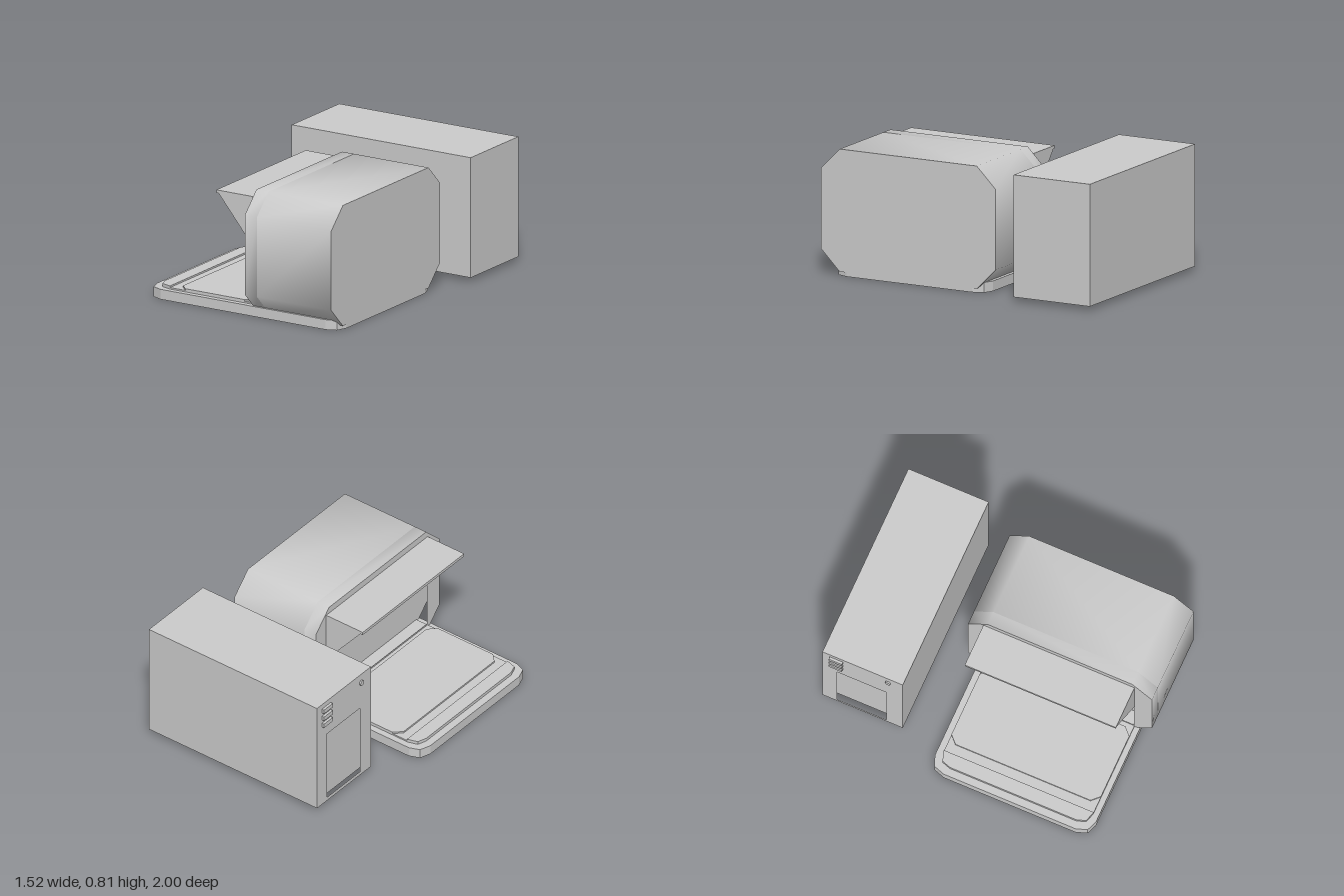
import * as THREE from 'three';
import { toCreasedNormals } from 'three/addons/utils/BufferGeometryUtils.js';

const material = new THREE.MeshStandardMaterial({ color: 0xcccccc });

function add(parent, name, geometry) {
  const mesh = new THREE.Mesh(geometry, material);
  mesh.name = name;
  parent.add(mesh);
  return mesh;
}

// Box given by its limits on each axis
function block(x0, x1, y0, y1, z0, z1) {
  return new THREE.BoxGeometry(x1 - x0, y1 - y0, z1 - z0)
    .translate((x0 + x1) / 2, (y0 + y1) / 2, (z0 + z1) / 2);
}

const toShape = (pts) => new THREE.Shape(pts.map(([a, b]) => new THREE.Vector2(a, b)));
const extrude = (shape, depth) => new THREE.ExtrudeGeometry(shape, { depth, bevelEnabled: false });
const rect = (a0, a1, b0, b1) => [[a0, b0], [a1, b0], [a1, b1], [a0, b1]];

// Rectangle whose corners are cut by the given [along a, along b] steps
function cutRect(a0, a1, b0, b1, cuts) {
  const back = [...cuts].reverse();
  return [
    ...cuts.map(([a, b]) => [a0 + a, b0 + b]),
    ...back.map(([a, b]) => [a1 - a, b0 + b]),
    ...cuts.map(([a, b]) => [a1 - a, b1 - b]),
    ...back.map(([a, b]) => [a0 + a, b1 - b]),
  ];
}

// Profile in [z, y] extruded along x, with an optional opening
function alongX(pts, x0, x1, hole) {
  const flip = (list) => list.map(([z, y]) => [-z, y]);
  const shape = toShape(flip(pts));
  if (hole) shape.holes.push(toShape(flip(hole)));
  return extrude(shape, x1 - x0).rotateY(Math.PI / 2).translate(x0, 0, 0);
}

// Plan in [x, z] extruded upwards
function upward(pts, y0, y1) {
  return extrude(toShape(pts.map(([x, z]) => [x, -z])), y1 - y0)
    .rotateX(-Math.PI / 2).translate(0, y0, 0);
}

export function createModel() {
  const model = new THREE.Group();

  // Rear cabinet with a recessed end panel
  const cabinet = new THREE.Group();
  cabinet.name = 'cabinet';
  model.add(cabinet);
  add(cabinet, 'cabinetBody', block(-0.528, 0.76, 0.03, 0.815, -1, -0.45));
  add(cabinet, 'cabinetEndFrame',
    alongX(rect(-1, -0.45, 0.03, 0.815), -0.575, -0.528, rect(-0.9, -0.56, 0.056, 0.555)));
  for (const y of [0.64, 0.695, 0.75]) {
    add(cabinet, 'button', block(-0.592, -0.57, y, y + 0.03, -0.95, -0.86));
  }
  add(cabinet, 'knob', new THREE.CylinderGeometry(0.018, 0.018, 0.015, 20)
    .rotateZ(Math.PI / 2).translate(-0.578, 0.75, -0.55));

  // Flat tray with clipped corners
  const tray = new THREE.Group();
  tray.name = 'tray';
  model.add(tray);
  add(tray, 'trayBase', upward(
    cutRect(-0.765, 0.652, -0.187, 0.917, [[0, 0.1], [0.025, 0.027], [0.093, 0]]), 0, 0.065));
  add(tray, 'trayInsert', upward(
    [[-0.715, -0.065], [-0.695, -0.125], [-0.63, -0.145], [0.1, -0.145],
      [0.1, 0.88], [-0.63, 0.88], [-0.695, 0.86], [-0.715, 0.8]], 0.06, 0.075));
  add(tray, 'trayRim', upward(
    [[-0.715, -0.065], [-0.695, -0.125], [-0.63, -0.145], [-0.625, -0.145],
      [-0.625, 0.88], [-0.63, 0.88], [-0.695, 0.86], [-0.715, 0.8]], 0.07, 0.086));
  add(tray, 'trayPlate', upward(
    cutRect(-0.56, -0.02, -0.145, 0.88, [[0, 0.05], [0.05, 0]]), 0.07, 0.086));

  // Eight-sided housing with softly shaded sides and an open bay
  const housing = new THREE.Group();
  housing.name = 'housing';
  model.add(housing);
  const profile = cutRect(-0.26, 1, 0.027, 0.815, [[0, 0.135], [0.135, 0]]);
  const soften = (geometry) => toCreasedNormals(geometry, Math.PI * 0.3);
  add(housing, 'housingBody', soften(alongX(profile, 0.1, 0.655)));
  add(housing, 'housingBayFrame',
    soften(alongX(profile, 0.01, 0.1, rect(-0.15, 0.875, 0.086, 0.765))));

  // Hollow canopy over the bay: top sheet, lip and two side brackets
  const canopy = new THREE.Group();
  canopy.name = 'canopy';
  model.add(canopy);
  add(canopy, 'canopyTop', block(-0.28, 0.012, 0.763, 0.77, -0.155, 0.88));
  add(canopy, 'canopyLip', block(-0.28, -0.265, 0.75, 0.77, -0.155, 0.88));
  const bracket = [[-0.28, 0.77], [-0.28, 0.75], [-0.262, 0.75], [0.012, 0.42], [0.012, 0.77]];
  for (const z of [-0.155, 0.872]) {
    add(canopy, 'canopyBracket', extrude(toShape(bracket), 0.008).translate(0, 0, z));
  }

  return model;
}
